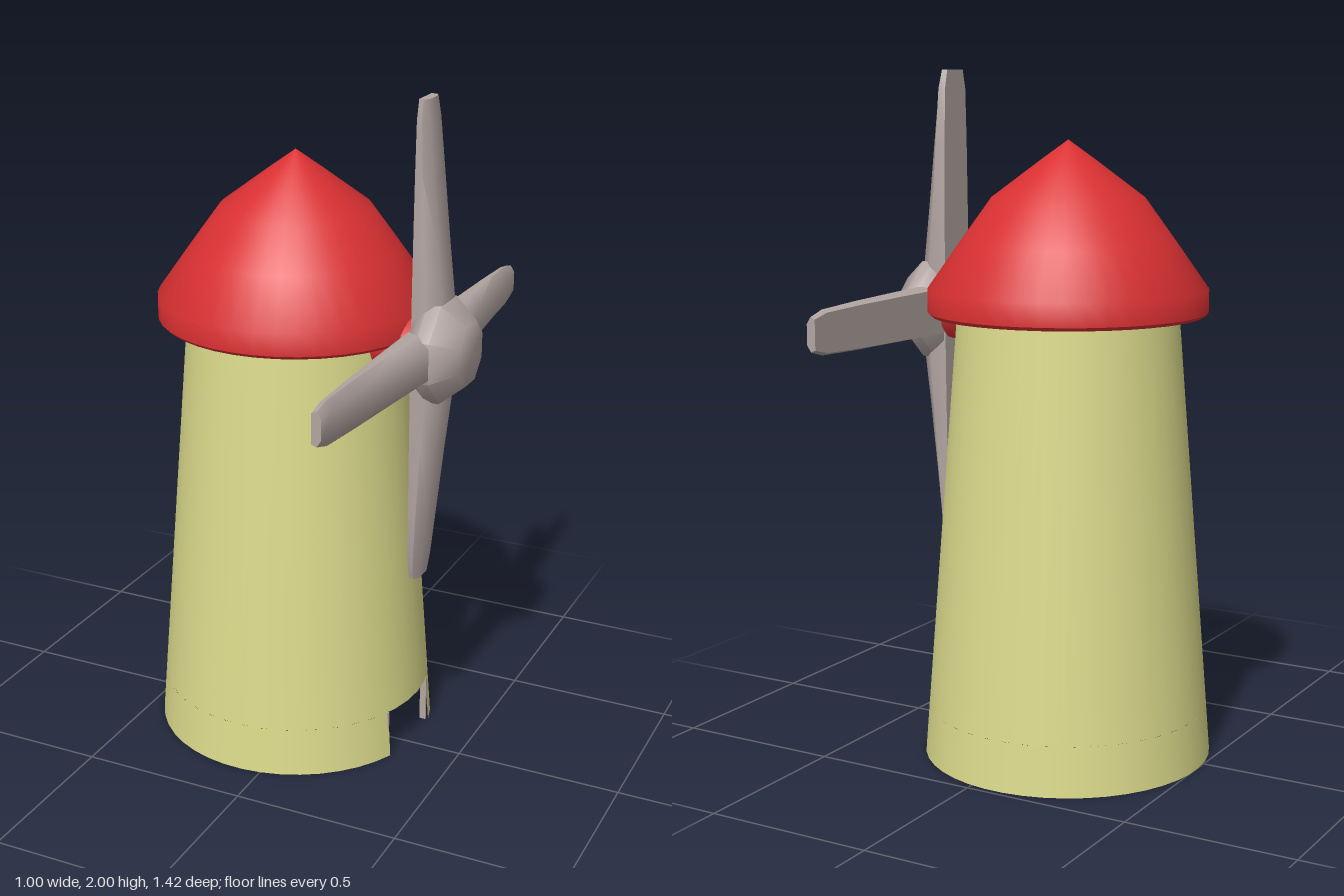
import * as THREE from 'three';
import { toCreasedNormals } from 'three/addons/utils/BufferGeometryUtils.js';

const CX = -0.078, CZ = -0.06; // tower axis
const HUB_Y = 1.29;

function material(name, color, side = THREE.FrontSide) {
  const m = new THREE.MeshStandardMaterial({ color, side });
  m.name = name;
  return m;
}

function add(parent, name, geometry, mat, x = 0, y = 0, z = 0) {
  const mesh = new THREE.Mesh(geometry, mat);
  mesh.name = name;
  mesh.position.set(x, y, z);
  parent.add(mesh);
  return mesh;
}

// Tapered sail growing along +y, flat at the back and bevelled at the front
function sailGeometry() {
  // distance from hub, half width, front x
  const stations = [
    [0, 0.075, 0.425], [0.15, 0.075, 0.425], [0.3, 0.073, 0.408],
    [0.5, 0.069, 0.388], [0.655, 0.063, 0.373], [0.71, 0.048, 0.367],
  ];
  const pos = [], idx = [], back = 0.34;
  for (const [s, w, front] of stations) {
    const mid = back + (front - back) * 0.55;
    const loop = [
      [back, -0.88 * w], [back, 0.88 * w], [mid, w],
      [front, 0.6 * w], [front, -0.6 * w], [mid, -w],
    ];
    for (const [x, z] of loop) pos.push(x, s, z);
  }
  for (let i = 0; i < stations.length - 1; i++) {
    for (let j = 0; j < 6; j++) {
      const a = i * 6 + j, b = i * 6 + (j + 1) % 6;
      idx.push(a, b, a + 6, b, b + 6, a + 6);
    }
  }
  const end = (stations.length - 1) * 6;
  for (let j = 1; j < 5; j++) idx.push(end, end + j, end + j + 1);
  const g = new THREE.BufferGeometry();
  g.setAttribute('position', new THREE.Float32BufferAttribute(pos, 3));
  g.setIndex(idx);
  return toCreasedNormals(g, 1.1);
}

export function createModel() {
  const model = new THREE.Group();
  model.name = 'windmill';
  const plaster = material('pale yellow plaster', 0xdcdb8c, THREE.DoubleSide);
  const red = material('red roof', 0xd93032);
  const wood = material('grey wood', 0xb2a5a1);

  // Tower: open tapered shell with a gap for the doorway
  const baseR = 0.424, topR = 0.32, topY = 1.32, doorH = 0.145;
  const radiusAt = (y) => baseR + (topR - baseR) * y / topY;
  const door0 = Math.asin(0.16 / baseR), door1 = Math.asin(0.09 / baseR);
  const tower = new THREE.Group();
  tower.name = 'tower';
  tower.position.set(CX, 0, CZ);
  model.add(tower);
  add(tower, 'towerWall',
    new THREE.CylinderGeometry(topR, radiusAt(doorH), topY - doorH, 40, 1, true),
    plaster, 0, (topY + doorH) / 2, 0);
  add(tower, 'towerBase',
    new THREE.CylinderGeometry(radiusAt(doorH), baseR, doorH, 40, 1, true,
      Math.PI / 2 + door1, Math.PI * 2 - door0 - door1),
    plaster, 0, doorH / 2, 0);

  // Door jambs
  for (const z of [0.158, -0.088]) {
    const x = Math.sqrt(baseR * baseR - z * z) - 0.018;
    add(tower, 'doorJamb', new THREE.BoxGeometry(0.02, doorH, 0.006), wood, x, doorH / 2, z);
  }

  // Roof cap with a straight rim and a curved cone
  const profile = [
    [0, 1.305], [0.395, 1.305], [0.405, 1.315], [0.405, 1.38],
    [0.31, 1.515], [0.22, 1.64], [0.08, 1.745], [0, 1.803],
  ].map(([r, y]) => new THREE.Vector2(r, y));
  add(model, 'roofCap', toCreasedNormals(new THREE.LatheGeometry(profile, 40), 0.7),
    red, CX, 0, CZ);

  // Axle housing under the rim
  const axle = add(model, 'axleHousing', new THREE.CylinderGeometry(0.09, 0.09, 0.15, 12),
    red, 0.26, HUB_Y, -0.015);
  axle.rotation.z = -Math.PI / 2;
  const shaft = add(model, 'axleShaft', new THREE.CylinderGeometry(0.04, 0.04, 0.06, 12),
    red, 0.33, HUB_Y, -0.02);
  shaft.rotation.z = -Math.PI / 2;

  // Rotor: four sails and an eight-sided hub
  const rotor = new THREE.Group();
  rotor.name = 'rotor';
  rotor.position.y = HUB_Y;
  model.add(rotor);
  const sail = sailGeometry();
  for (let k = 0; k < 4; k++) {
    add(rotor, 'sail', sail, wood).rotation.x = k * Math.PI / 2;
  }
  const hubProfile = [
    [0, 0.345], [0.12, 0.345], [0.155, 0.385], [0.155, 0.425], [0.095, 0.495], [0, 0.5],
  ].map(([r, y]) => new THREE.Vector2(r, y));
  const hubGeometry = new THREE.LatheGeometry(hubProfile, 8);
  hubGeometry.rotateY(Math.PI / 8);
  add(rotor, 'hub', toCreasedNormals(hubGeometry, 0.9), wood).rotation.z = -Math.PI / 2;

  return model;
}
